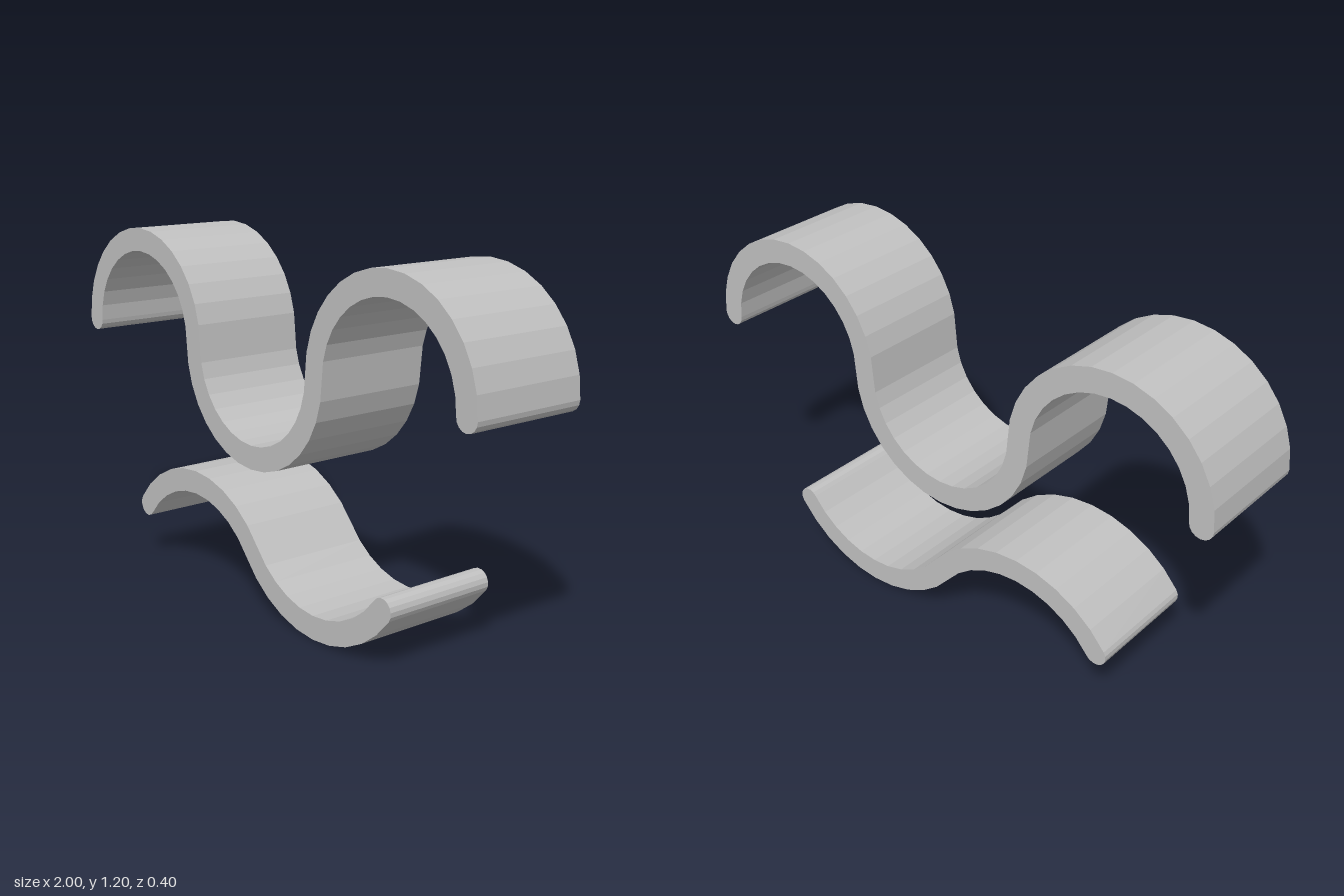
import * as THREE from 'three';

const HALF = 0.04;   // half of the ribbon thickness
const DEPTH = 0.4;   // extent along z

// Appends points along an arc, skipping a point that repeats the last one
function addArc(points, x, y, r, from, to, segments) {
  for (let i = 0; i <= segments; i++) {
    const a = from + (to - from) * i / segments;
    const p = new THREE.Vector2(x + r * Math.cos(a), y + r * Math.sin(a));
    const last = points[points.length - 1];
    if (!last || last.distanceTo(p) > 1e-5) points.push(p);
  }
}

// Thick wavy ribbon with rounded ends; arcs run left to right, crest or trough in turn
function waveRibbon(name, material, arcs, radius, halfAngle, segments, capSegments) {
  const points = [];
  const side = (arc, s) => {
    const mid = arc.crest ? Math.PI / 2 : -Math.PI / 2;
    const dir = arc.crest ? 1 : -1;
    const start = mid + dir * halfAngle, end = mid - dir * halfAngle;
    const r = radius + dir * s * HALF;
    addArc(points, arc.x, arc.y, r, s > 0 ? start : end, s > 0 ? end : start, segments);
  };
  const cap = (arc, sx, from) => {
    const dir = arc.crest ? 1 : -1;
    const x = arc.x + sx * radius * Math.sin(halfAngle);
    const y = arc.y + dir * radius * Math.cos(halfAngle);
    addArc(points, x, y, HALF, from, from - Math.PI, capSegments);
  };
  const first = arcs[0], last = arcs[arcs.length - 1];

  arcs.forEach(arc => side(arc, 1));
  cap(last, 1, Math.PI / 2 + (last.crest ? -halfAngle : halfAngle));
  [...arcs].reverse().forEach(arc => side(arc, -1));
  cap(first, -1, -Math.PI / 2 + (first.crest ? halfAngle : -halfAngle));
  if (points[0].distanceTo(points[points.length - 1]) < 1e-5) points.pop();

  const geometry = new THREE.ExtrudeGeometry(new THREE.Shape(points), {
    depth: DEPTH, bevelEnabled: false,
  });
  geometry.translate(0, 0, -DEPTH / 2);
  const mesh = new THREE.Mesh(geometry, material);
  mesh.name = name;
  return mesh;
}

export function createModel() {
  const group = new THREE.Group();
  group.name = 'waveRibbons';
  const grey = new THREE.MeshStandardMaterial({ color: 0xc0c0c0 });
  grey.name = 'light grey';

  // Upper ribbon: three half circles
  group.add(waveRibbon('upperRibbon', grey, [
    { x: -0.64, y: 0.84, crest: true },
    { x: 0, y: 0.84, crest: false },
    { x: 0.64, y: 0.84, crest: true },
  ], 0.32, Math.PI / 2, 16, 8));

  // Lower ribbon: one shallow crest and one shallow trough
  group.add(waveRibbon('lowerRibbon', grey, [
    { x: -0.32, y: -0.04, crest: true },
    { x: 0.32, y: 0.44, crest: false },
  ], 0.4, Math.asin(0.8), 10, 8));

  return group;
}
